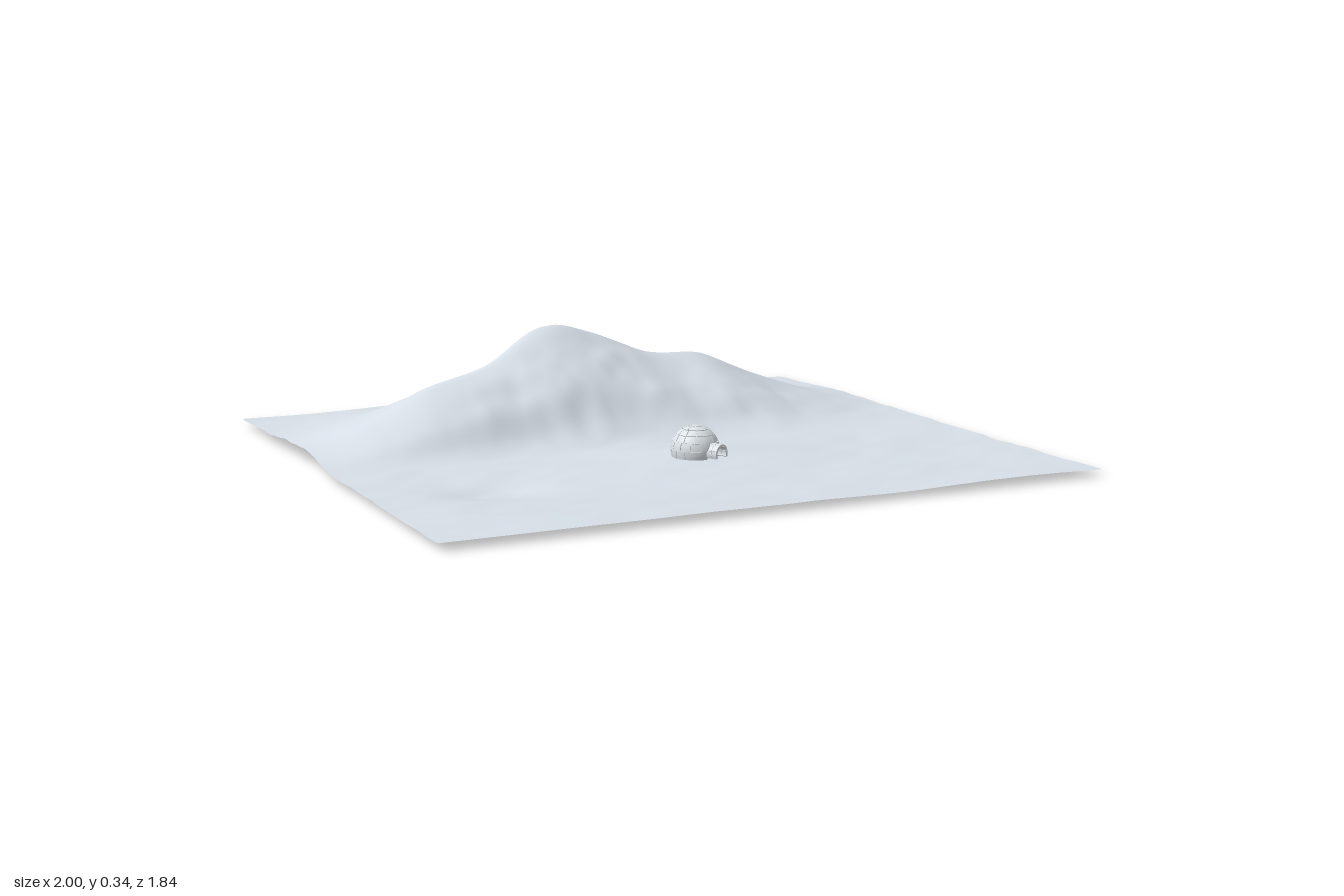
import * as THREE from 'three';

const snow = new THREE.MeshStandardMaterial({ color: 0xdce4ed, side: THREE.DoubleSide });
snow.name = 'snow';
const ice = new THREE.MeshStandardMaterial({ color: 0xdfe5ea, side: THREE.DoubleSide });
ice.name = 'ice';

// Evenly spaced tables: ridge height and ridge position along x, slope profiles down from the ridge
const ridgeHeight = [0.055, 0.12, 0.205, 0.25, 0.33, 0.31, 0.24, 0.218, 0.14, 0.075, 0.035];
const ridgeZ = [-0.2, -0.2, -0.22, -0.27, -0.38, -0.4, -0.38, -0.4, -0.42, -0.45, -0.45];
const frontSlope = [1, 0.88, 0.71, 0.51, 0.2, 0.03, 0];
const backSlope = [1, 0.77, 0.45, 0.23, 0.1, 0.03, 0];

// Smooth cubic lookup; u runs 0..1 over n steps
function lookup(table, u) {
  const at = i => table[Math.min(table.length - 1, Math.max(0, i))];
  const i = Math.floor(u), f = u - i;
  const a = at(i - 1), b = at(i), c = at(i + 1), d = at(i + 2);
  return b + 0.5 * f * (c - a + f * (2 * a - 5 * b + 4 * c - d + f * (3 * (b - c) + d - a)));
}

// Seeded value noise, roughly -1..1
function hash(i, j) {
  const s = Math.sin(i * 127.1 + j * 311.7) * 43758.5453;
  return (s - Math.floor(s)) * 2 - 1;
}
function noise(x, z) {
  const i = Math.floor(x), j = Math.floor(z);
  const ease = t => t * t * (3 - 2 * t);
  const u = ease(x - i), v = ease(z - j);
  const lerp = THREE.MathUtils.lerp;
  return lerp(lerp(hash(i, j), hash(i + 1, j), u), lerp(hash(i, j + 1), hash(i + 1, j + 1), u), v);
}
const mound = (x, z, cx, cz, rx, rz) => Math.exp(-(((x - cx) / rx) ** 2) - ((z - cz) / rz) ** 2);

function groundHeight(x, z) {
  const u = (x + 1) * 5;
  const zr = lookup(ridgeZ, u);
  const t = z > zr ? (z - zr) / (0.06 - zr) : (zr - z) / (0.92 + zr * 0.8);
  const slope = t > 1.25 ? 0 : Math.max(0, lookup(z > zr ? frontSlope : backSlope, t * 5));
  let h = 0.02 + (lookup(ridgeHeight, u) - 0.022) * slope;
  h += 0.012 * mound(x, z, -0.13, -0.4, 0.09, 0.1);
  // Drifts, the rise under the igloo and a shallow hollow
  h += 0.026 * mound(x, z, 0.03, 0.27, 0.32, 0.17);
  h -= 0.024 * mound(x, z, -0.65, 0.42, 0.14, 0.1);
  h += 0.004 * noise(x * 4 + z * 2, z * 7) + 0.002 * noise(x * 9 + z * 6, z * 17);
  // Rugged front face
  const rough = z > zr ? slope * (1 - slope) * 4 : slope * (1 - slope);
  const centre = mound(x, 0, -0.1, 0, 0.6, 1);
  h += rough * centre * (0.011 * noise(x * 8 + 3, z * 8) + 0.006 * noise(x * 17, z * 15 + 5));
  return Math.max(0, h);
}

function makeGround() {
  const geo = new THREE.PlaneGeometry(2, 1.84, 150, 138).rotateX(-Math.PI / 2);
  const p = geo.attributes.position;
  for (let i = 0; i < p.count; i++) p.setY(i, groundHeight(p.getX(i), p.getZ(i)));
  geo.computeVertexNormals();
  const mesh = new THREE.Mesh(geo, snow);
  mesh.name = 'snowyMountainGround';
  return mesh;
}

// Bend a box into a block: place(u, v, w) takes 0..1 along its three sides
function bentBlock(name, place) {
  const geo = new THREE.BoxGeometry(1, 1, 1, 4, 3, 1);
  const p = geo.attributes.position;
  for (let i = 0; i < p.count; i++) {
    p.setXYZ(i, ...place(p.getX(i) + 0.5, p.getY(i) + 0.5, p.getZ(i) + 0.5));
  }
  geo.computeVertexNormals();
  const mesh = new THREE.Mesh(geo, ice);
  mesh.name = name;
  return mesh;
}

function makeIgloo() {
  const igloo = new THREE.Group();
  igloo.name = 'igloo';
  const R = 0.071, inner = 0.064, gap = 0.0012;

  // Dome courses, staggered, with a doorway left open
  const levels = [-0.3, 0.06, 0.38, 0.7, 1.02, 1.3, Math.PI / 2];
  const counts = [14, 14, 13, 11, 8, 4];
  counts.forEach((n, row) => {
    const step = Math.PI * 2 / n;
    for (let k = 0; k < n; k++) {
      const a0 = (k + (row % 2) * 0.5) * step;
      const mid = Math.abs(Math.atan2(Math.sin(a0 + step / 2), Math.cos(a0 + step / 2)));
      if (row < 2 && mid < 0.3) continue;
      const e0 = levels[row] + gap / R, e1 = levels[row + 1] - (row < 5 ? gap / R : 0);
      const side = gap / (R * Math.cos(levels[row]));
      igloo.add(bentBlock('domeBlock', (u, v, w) => {
        const a = a0 + side + u * (step - 2 * side), e = e0 + v * (e1 - e0);
        const r = inner + w * (R - inner);
        return [r * Math.cos(e) * Math.sin(a), r * Math.sin(e), r * Math.cos(e) * Math.cos(a)];
      }));
    }
  });

  // Thin lining behind the joints
  const upper = new THREE.Mesh(new THREE.SphereGeometry(0.068, 40, 16, 0, Math.PI * 2, 0, 1.19), ice);
  const lower = new THREE.Mesh(new THREE.SphereGeometry(0.068, 40, 8,
    Math.PI / 2 + 0.35, Math.PI * 2 - 0.7, 1.19, 0.68), ice);
  upper.name = 'domeLining';
  lower.name = 'domeLowerLining';
  igloo.add(upper, lower);

  // Arched entrance: two rings of five blocks
  const start = -0.45, span = (Math.PI + 0.9) / 5;
  for (let ring = 0; ring < 2; ring++) {
    for (let k = 0; k < 5; k++) {
      igloo.add(bentBlock('entranceBlock', (u, v, w) => {
        const a = Math.PI - start - (k + 0.02 + u * 0.96) * span;
        const r = 0.021 + v * 0.007;
        return [r * Math.cos(a), -0.003 + r * Math.sin(a), 0.06 + ring * 0.018 + w * 0.0172];
      }));
    }
  }
  igloo.position.set(0, 0.06, 0.335);
  igloo.rotation.y = 0.45;
  return igloo;
}

export function createModel() {
  const model = new THREE.Group();
  model.name = 'iglooByMountain';
  model.add(makeGround(), makeIgloo());
  return model;
}
